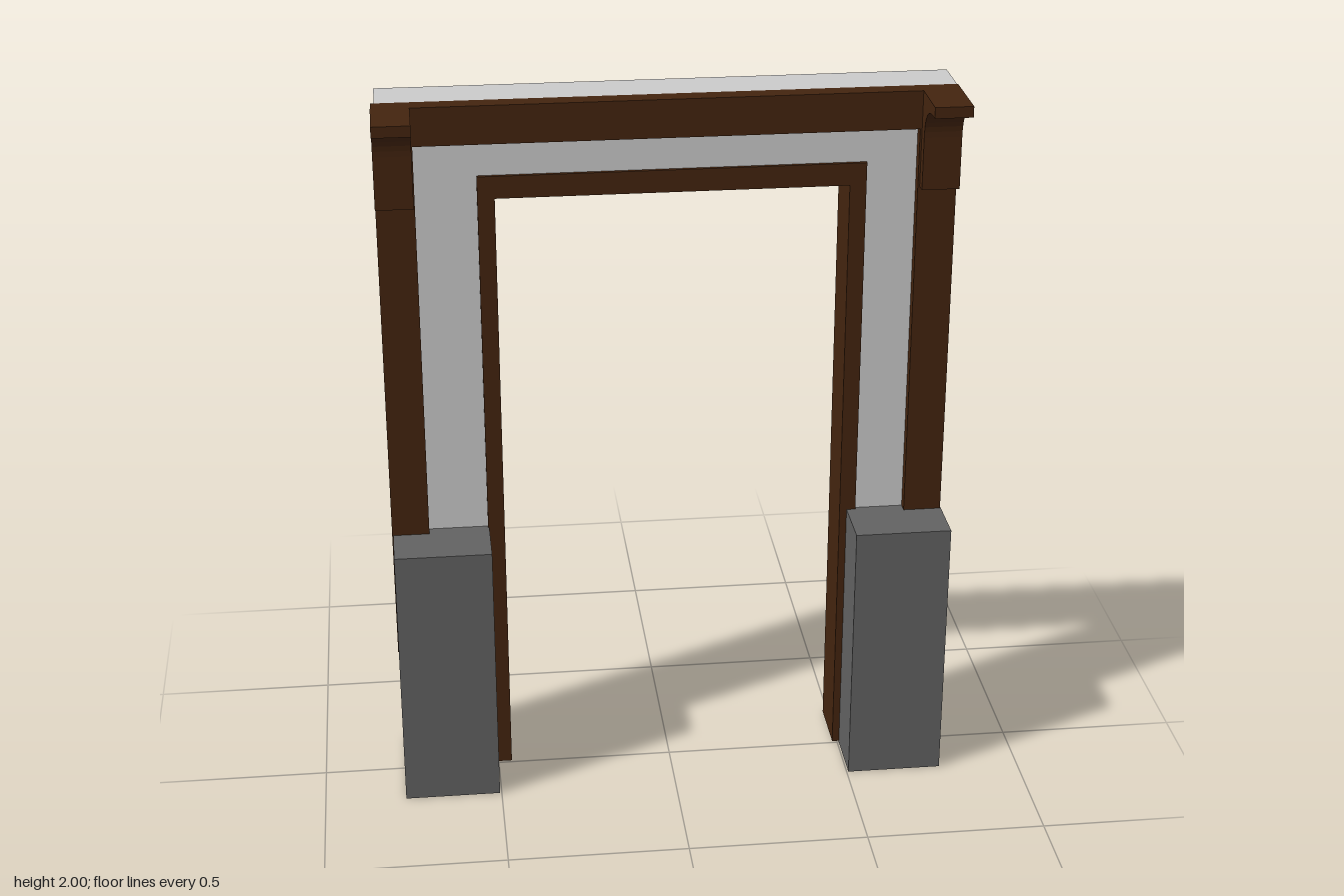
import * as THREE from 'three';

const plaster = new THREE.MeshStandardMaterial({ color: 0xcccccc });
const wood = new THREE.MeshStandardMaterial({ color: 0x43240f });
const stone = new THREE.MeshStandardMaterial({ color: 0x626262 });

// Box given by its minimum and maximum corners
function box(name, material, [x0, y0, z0], [x1, y1, z1]) {
  const mesh = new THREE.Mesh(new THREE.BoxGeometry(x1 - x0, y1 - y0, z1 - z0), material);
  mesh.name = name;
  mesh.position.set((x0 + x1) / 2, (y0 + y1) / 2, (z0 + z1) / 2);
  return mesh;
}

// Upside-down U outline, open at the bottom, extruded from z0 to z1
function portal(name, material, outer, inner, y0, z0, z1) {
  const shape = new THREE.Shape([
    [outer.l, y0], [inner.l, y0], [inner.l, inner.top], [inner.r, inner.top],
    [inner.r, y0], [outer.r, y0], [outer.r, outer.top], [outer.l, outer.top],
  ].map(([x, y]) => new THREE.Vector2(x, y)));
  const geometry = new THREE.ExtrudeGeometry(shape, { depth: z1 - z0, bevelEnabled: false });
  geometry.translate(0, 0, z0);
  const mesh = new THREE.Mesh(geometry, material);
  mesh.name = name;
  return mesh;
}

// Curved bracket: side profile (z, y) extruded across x
function bracket(name, x0, x1) {
  const shape = new THREE.Shape();
  shape.moveTo(0.015, 1.735);
  shape.lineTo(0.05, 1.735);
  shape.lineTo(0.05, 1.88);
  shape.bezierCurveTo(0.05, 1.935, 0.08, 1.97, 0.14, 1.97);
  shape.lineTo(0.167, 1.97);
  shape.lineTo(0.167, 2);
  shape.lineTo(0.015, 2);
  const geometry = new THREE.ExtrudeGeometry(shape, { depth: x1 - x0, bevelEnabled: false, curveSegments: 10 });
  geometry.rotateY(-Math.PI / 2); // profile x becomes z, depth becomes -x
  geometry.translate(x1, 0, 0);
  const mesh = new THREE.Mesh(geometry, wood);
  mesh.name = name;
  return mesh;
}

export function createModel() {
  const group = new THREE.Group();
  group.name = 'doorway';

  // Wall with its opening, and the wooden lining of the opening
  const opening = { l: -0.49, r: 0.51, top: 1.77 };
  group.add(portal('wall', plaster, { l: -0.766, r: 0.77, top: 1.999 }, opening, 0, -0.164, -0.01));
  group.add(portal('doorCasing', wood, { l: -0.508, r: 0.53, top: 1.8 },
    { l: -0.462, r: 0.485, top: 1.738 }, 0.005, -0.169, 0));

  // Outer timber frame
  group.add(box('topBeam', wood, [-0.775, 1.895, -0.03], [0.772, 2, 0.02]));
  group.add(box('rightPost', wood, [-0.775, 0.4, -0.03], [-0.672, 1.895, 0.02]));
  group.add(box('leftPost', wood, [0.665, 0.4, -0.03], [0.7695, 1.895, 0.02]));

  // Brackets under the eaves
  group.add(bracket('rightBracket', -0.776, -0.675));
  group.add(bracket('leftBracket', 0.67, 0.772));

  // Stone pedestals
  group.add(box('rightPedestal', stone, [-0.772, 0, -0.06], [-0.505, 0.77, 0.162]));
  group.add(box('leftPedestal', stone, [0.505, 0, -0.06], [0.772, 0.77, 0.162]));

  return group;
}
